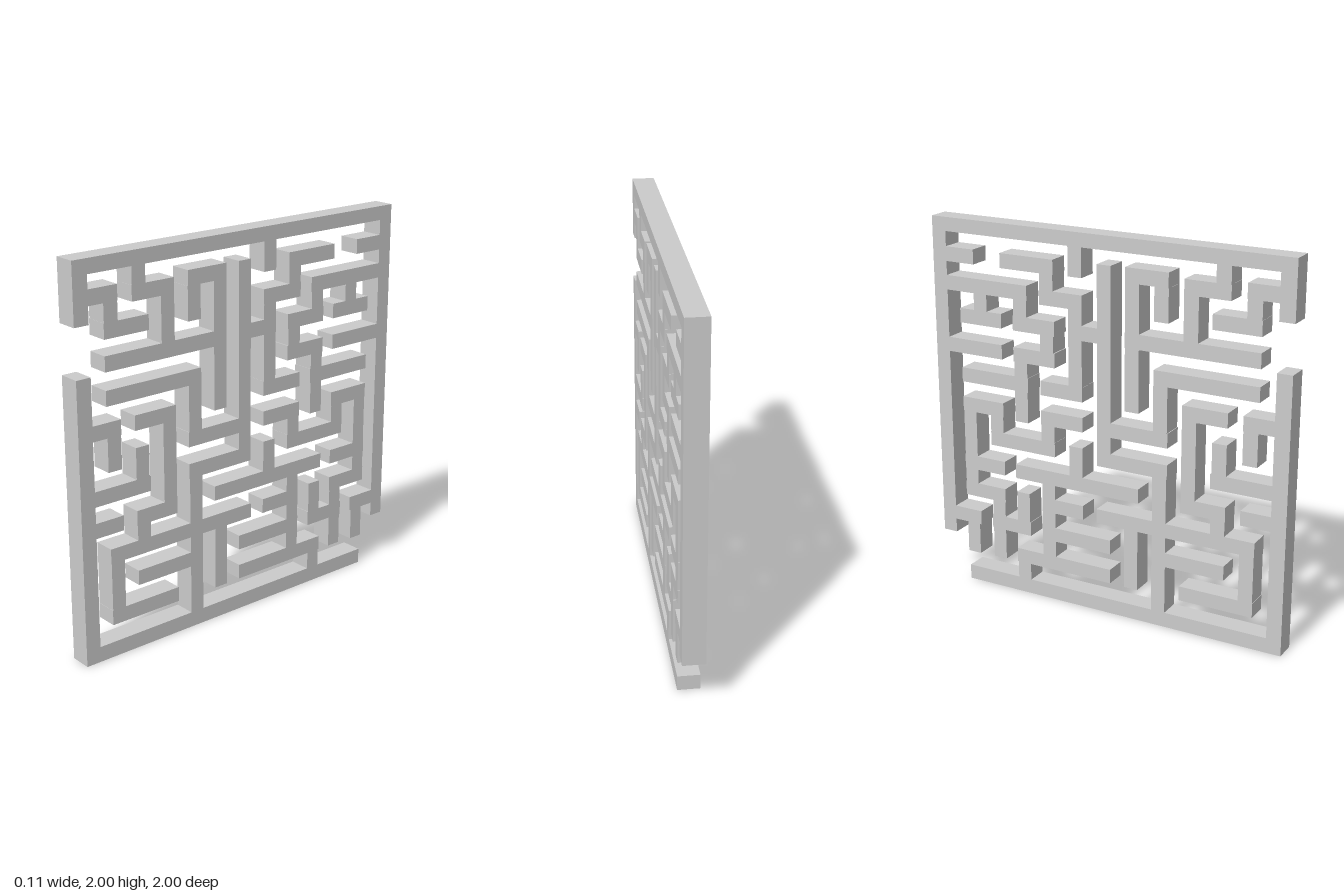
import * as THREE from 'three';

const DEPTH = 0.114; // slab thickness along x
const WALL = 0.077; // width of every maze wall

// Horizontal walls: [centre height, [z start, z end], ...]
const rows = [
  [1.82, [0.92, 0.76], [0.355, 0.12]],
  [1.81, [-0.285, -0.595], [-0.755, -0.92]],
  [1.8, [0.68, 0.437]],
  [1.65, [0.84, 0.587], [-0.12, -0.365]],
  [1.66, [-0.44, -0.92]],
  [1.495, [0.84, 0.12], [-0.035, -0.2], [-0.28, -0.525], [-0.595, -0.845]],
  [1.33, [0.84, 0.28], [-0.28, -0.525], [-0.595, -0.92]],
  [1.175, [0.92, 0.76], [0.68, 0.437], [-0.12, -0.365], [-0.44, -0.845]],
  [1.015, [0.36, -0.035], [-0.12, -0.365], [-0.595, -0.845]],
  [0.85, [0.92, 0.595], [0.36, -0.035], [-0.285, -0.675]],
  [0.69, [0.92, 0.76], [0.68, 0.437], [0.2, -0.525], [-0.595, -0.845]],
  [0.535, [0.84, -0.04], [-0.12, -0.365], [-0.595, -0.845]],
  [0.375, [0.68, 0.28], [0.04, -0.365], [-0.44, -0.68], [-0.755, -0.92]],
  [0.21, [0.84, 0.437], [0.04, -0.525]],
];

// Vertical walls: [centre z, [bottom, top], ...]
const columns = [
  [0.8, [1.6, 1.855], [0.965, 1.21], [0.175, 0.57]],
  [0.64, [1.765, 1.95], [0.81, 1.05], [0.495, 0.725]],
  [0.476, [1.46, 1.84], [0.65, 1.21]],
  [0.318, [1.61, 1.855], [0.98, 1.37], [0.07, 0.89]],
  [0.16, [1.13, 1.855], [0.17, 0.57]],
  [0.004, [0.81, 1.855]],
  [-0.16, [1.775, 1.95], [1.13, 1.685], [0.65, 0.89]],
  [-0.325, [1.615, 1.85], [1.29, 1.535], [0.81, 1.05], [0.175, 0.725]],
  [-0.482, [1.46, 1.7], [0.97, 1.37], [0.335, 0.575], [0.05, 0.25]],
  [-0.636, [0.81, 1.05], [0.17, 0.57]],
  [-0.72, [1.46, 1.66]],
  [-0.804, [0.495, 1.05], [0.165, 0.41]],
];

export function createModel() {
  const model = new THREE.Group();
  model.name = 'mazePanel';
  const material = new THREE.MeshStandardMaterial({ color: 0xcccccc, flatShading: true });

  const addWall = (name, z0, z1, y0, y1) => {
    const geometry = new THREE.BoxGeometry(DEPTH, y1 - y0, Math.abs(z1 - z0));
    const mesh = new THREE.Mesh(geometry, material);
    mesh.name = name;
    mesh.position.set(0, (y0 + y1) / 2, (z0 + z1) / 2);
    model.add(mesh);
  };

  // Outer frame, open at the entrance and the exit
  addWall('topFrame', 1, -1, 1.927, 2);
  addWall('bottomFrame', 1, -0.835, 0, 0.08);
  addWall('upperEntranceFrame', 1, 0.92, 1.695, 1.927);
  addWall('entranceFrame', 1, 0.92, 0.08, 1.45);
  addWall('exitFrame', -0.92, -1, 0.26, 1.927);

  // Horizontal walls, remembered so that vertical walls can butt against them
  const bars = [{ z0: 1, z1: -1, y0: 1.927, y1: 2 }, { z0: 1, z1: -0.835, y0: 0, y1: 0.08 }];
  for (const [y, ...spans] of rows) {
    for (const [z0, z1] of spans) {
      const bar = { z0, z1, y0: y - WALL / 2, y1: y + WALL / 2 };
      bars.push(bar);
      addWall('horizontalWall', z0, z1, bar.y0, bar.y1);
    }
  }

  // Vertical walls, interrupted wherever a horizontal wall crosses them
  for (const [z, ...spans] of columns) {
    const crossing = bars.filter((b) => z < b.z0 && z > b.z1).sort((a, b) => a.y0 - b.y0);
    for (const [bottom, top] of spans) {
      let from = bottom;
      const piece = (to) => {
        if (to - from > 0.015) addWall('verticalWall', z + WALL / 2, z - WALL / 2, from, to);
      };
      for (const b of crossing) {
        if (b.y1 <= from || b.y0 >= top) continue;
        piece(b.y0);
        from = b.y1;
      }
      piece(top);
    }
  }
  return model;
}
